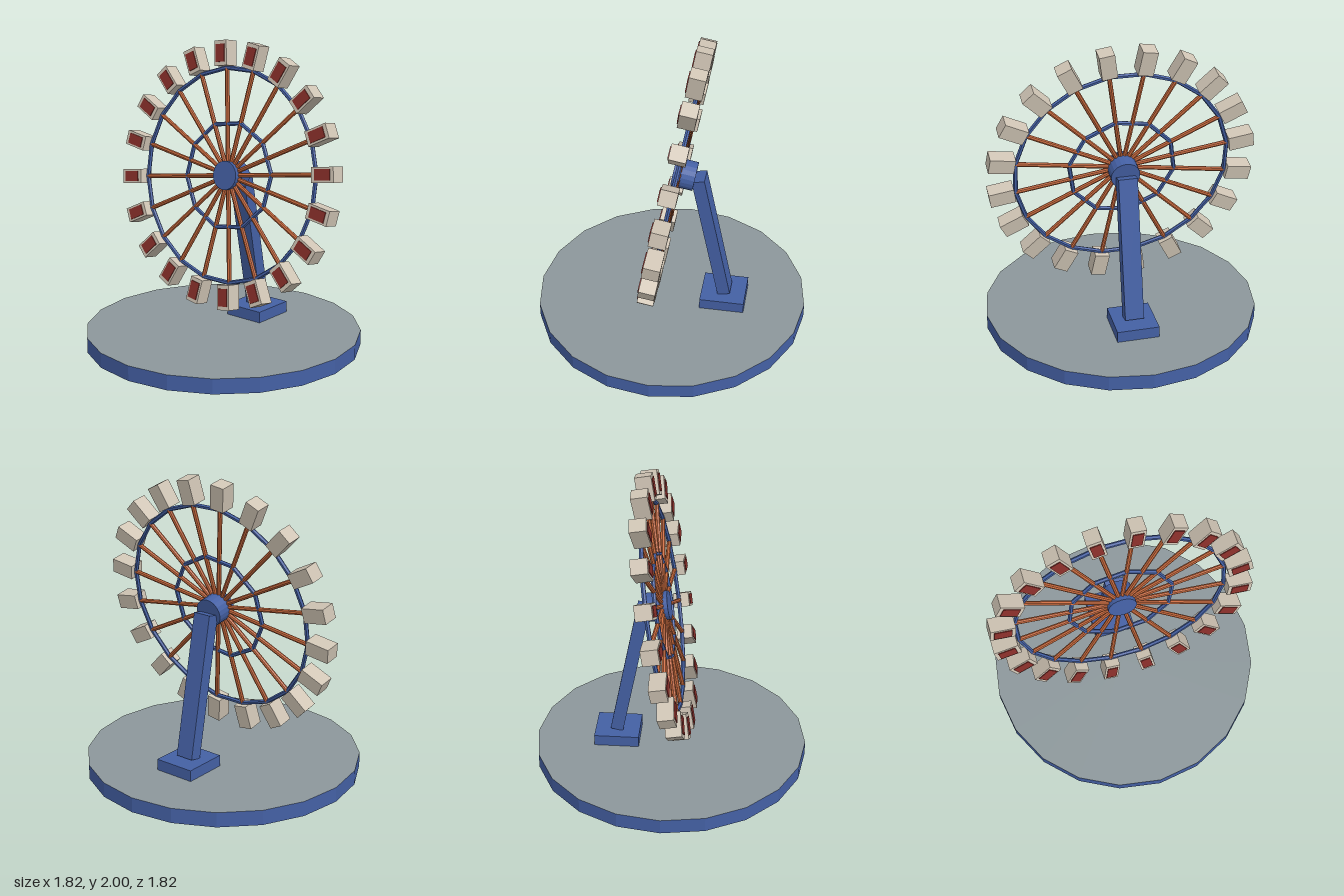
import * as THREE from 'three';

const rad = THREE.MathUtils.degToRad;

function material(name, color, options = {}) {
  const m = new THREE.MeshStandardMaterial({ color, flatShading: true, ...options });
  m.name = name;
  return m;
}

function addPart(parent, name, geometry, mat, x = 0, y = 0, z = 0) {
  const mesh = new THREE.Mesh(geometry, mat);
  mesh.name = name;
  mesh.position.set(x, y, z);
  parent.add(mesh);
  return mesh;
}

export function createModel() {
  const model = new THREE.Group();
  model.name = 'ferrisWheel';

  const blue = material('blue paint', 0x4460a4);
  const blueWall = material('blue paint open wall', 0x4460a4, { side: THREE.DoubleSide });
  const grey = material('grey floor', 0x8c979b, { side: THREE.DoubleSide });
  const orange = material('orange spokes', 0xcb6b3e);
  const beige = material('beige cabins', 0xd0c5b5);
  const red = material('red doors', 0x8a2f2a);

  // Round platform, hollow underneath
  addPart(model, 'platformWall', new THREE.CylinderGeometry(0.912, 0.912, 0.1, 20, 1, true), blueWall, 0, 0.05, 0);
  const floor = new THREE.CircleGeometry(0.912, 20).rotateX(-Math.PI / 2);
  addPart(model, 'platformFloor', floor, grey, 0, 0.1, 0);

  // Footing and leaning post
  addPart(model, 'footing', new THREE.BoxGeometry(0.3, 0.1, 0.28), blue, 0.36, 0.125, 0);
  const bottom = new THREE.Vector2(0.365, 0.18);
  const top = new THREE.Vector2(0.178, 1.113);
  const post = addPart(model, 'post', new THREE.BoxGeometry(0.085, bottom.distanceTo(top), 0.125), blue,
    (bottom.x + top.x) / 2, (bottom.y + top.y) / 2, 0);
  post.rotation.z = Math.atan2(bottom.x - top.x, top.y - bottom.y);

  // Tilted wheel: its axle is local x
  const wheel = new THREE.Group();
  wheel.name = 'wheel';
  wheel.position.set(0.035, 1.13, 0);
  wheel.rotation.z = rad(-10);
  model.add(wheel);

  const plane = 0.015; // axle position of rims and spokes
  addPart(wheel, 'hub', new THREE.CylinderGeometry(0.095, 0.095, 0.145, 20).rotateZ(Math.PI / 2), blue, 0.048, 0, 0);

  // Rings are polygons with their corners on the spokes
  const ring = (name, radius, sides) => addPart(wheel, name,
    new THREE.TorusGeometry(radius, 0.015, 6, sides).rotateZ(rad(-9)).rotateY(Math.PI / 2), blue, plane, 0, 0);
  ring('outerRim', 0.7, 20);
  ring('innerRim', 0.352, 10);

  // Spokes, each ending in a cabin with a door
  const spokeShape = new THREE.CylinderGeometry(0.015, 0.015, 0.7, 8);
  const cabinShape = new THREE.BoxGeometry(0.106, 0.164, 0.098);
  const doorShape = new THREE.BoxGeometry(0.008, 0.115, 0.07);
  for (let i = 0; i < 20; i++) {
    const arm = new THREE.Group();
    arm.name = 'arm';
    arm.rotation.x = rad(9 + 18 * i);
    addPart(arm, 'spoke', spokeShape, orange, plane, 0.35, 0);
    addPart(arm, 'cabin', cabinShape, beige, 0, 0.791, 0);
    addPart(arm, 'door', doorShape, red, -0.055, 0.791, 0);
    wheel.add(arm);
  }

  return model;
}
